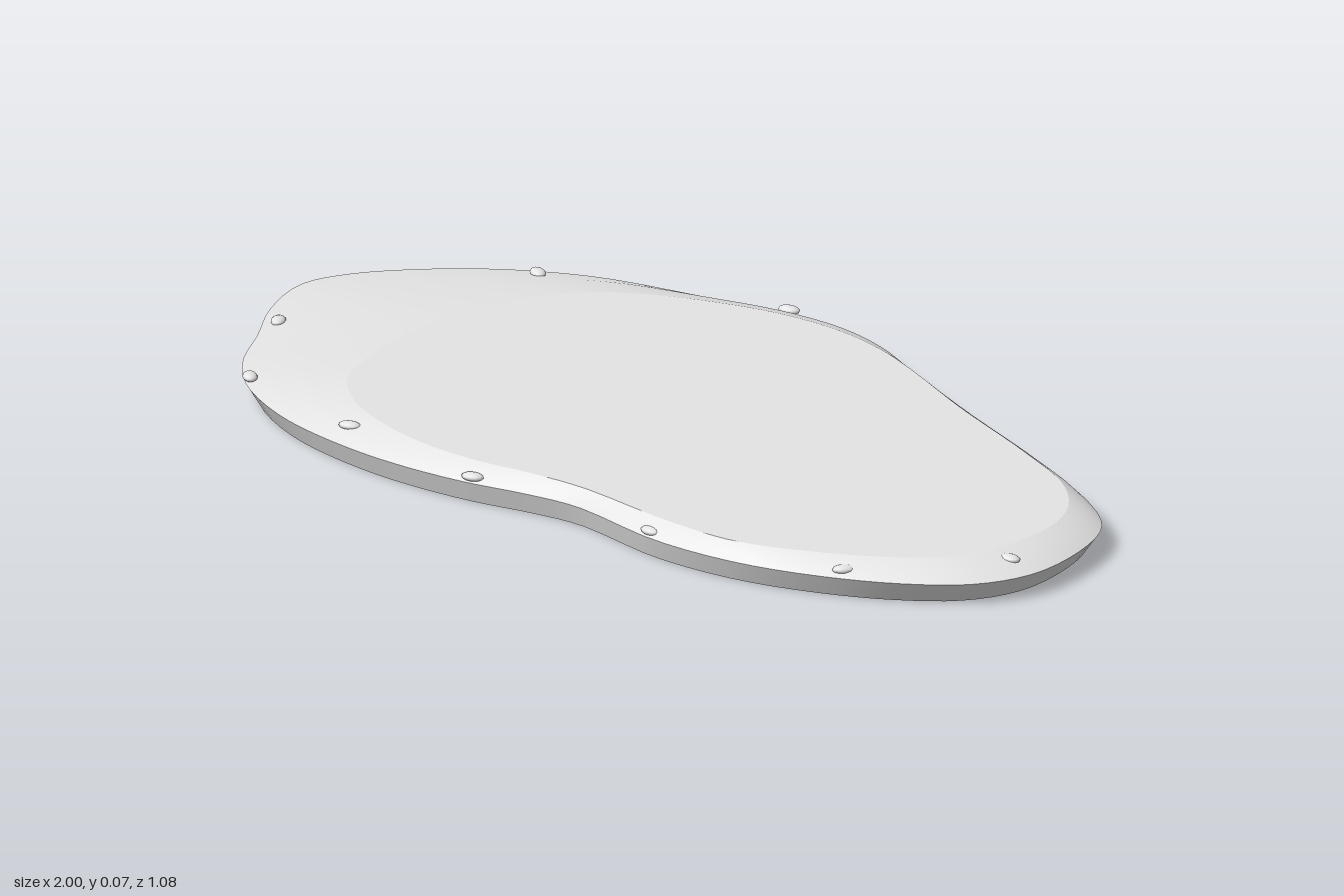
import * as THREE from 'three';

const SEGMENTS = 120;

// Rim point (x, z) paired with the matching point of the flat top (x, z)
const OUTLINE = [
  [-1.0, 0.03, -0.64, 0.0], [-0.977, -0.07, -0.63, -0.09], [-0.9, -0.19, -0.61, -0.18],
  [-0.8, -0.295, -0.57, -0.26], [-0.66, -0.39, -0.49, -0.34], [-0.45, -0.467, -0.37, -0.41],
  [-0.3, -0.52, -0.24, -0.46], [-0.16, -0.542, -0.1, -0.48], [-0.04, -0.525, 0.02, -0.47],
  [0.08, -0.482, 0.12, -0.445], [0.34, -0.405, 0.34, -0.375], [0.6, -0.335, 0.58, -0.31],
  [0.8, -0.27, 0.75, -0.25], [0.91, -0.2, 0.85, -0.17], [0.975, -0.08, 0.9, -0.07],
  [1.0, 0.06, 0.91, 0.05], [0.965, 0.17, 0.88, 0.16], [0.88, 0.26, 0.81, 0.24],
  [0.76, 0.34, 0.7, 0.32], [0.6, 0.41, 0.56, 0.39], [0.41, 0.445, 0.4, 0.41],
  [0.18, 0.435, 0.17, 0.41], [0.07, 0.46, 0.05, 0.43], [-0.05, 0.5, -0.07, 0.46],
  [-0.2, 0.53, -0.2, 0.47], [-0.35, 0.538, -0.32, 0.455], [-0.52, 0.52, -0.43, 0.42],
  [-0.68, 0.46, -0.53, 0.35], [-0.78, 0.38, -0.58, 0.26], [-0.86, 0.27, -0.61, 0.18],
  [-0.945, 0.16, -0.63, 0.09],
];

// Smooth closed ring through one pair of outline columns
function ring(column, y) {
  const points = OUTLINE.map((p) => new THREE.Vector3(p[column], y, p[column + 1]));
  const curve = new THREE.CatmullRomCurve3(points, true);
  return Array.from({ length: SEGMENTS }, (_, i) => curve.getPoint(i / SEGMENTS));
}

// Surface through successive rings, smooth inside and sharp at its ends
function loft(name, rings, material) {
  const index = [];
  for (let r = 0; r < rings.length - 1; r++) {
    for (let i = 0; i < SEGMENTS; i++) {
      const j = (i + 1) % SEGMENTS;
      const a = r * SEGMENTS + i, b = r * SEGMENTS + j;
      const c = a + SEGMENTS, d = b + SEGMENTS;
      index.push(a, c, b, b, c, d);
    }
  }
  const geometry = new THREE.BufferGeometry().setFromPoints(rings.flat());
  geometry.setIndex(index);
  geometry.computeVertexNormals();
  const mesh = new THREE.Mesh(geometry, material);
  mesh.name = name;
  return mesh;
}

export function createModel() {
  const group = new THREE.Group();
  group.name = 'flatStone';
  const stone = new THREE.MeshStandardMaterial({ color: 0xe5e5e5, side: THREE.DoubleSide });
  stone.name = 'pale grey stone';

  const rim = ring(0, 0.042);
  const top = ring(2, 0.07);
  const foot = rim.map((p) => new THREE.Vector3(p.x * 0.967, 0, p.z * 0.965));
  const shoulder = rim.map((p, i) => p.clone().lerp(top[i], 0.45).setY(0.058));
  const centre = rim.map(() => new THREE.Vector3(0, 0.07, 0));

  // Thin shell, hollow and open underneath
  group.add(
    loft('sideWall', [foot, rim], stone),
    loft('slopedShoulder', [rim, shoulder, top], stone),
    loft('flatTop', [top, centre], stone),
  );

  // Small pebbles set through the shoulder: x, y, z, turn
  const pebbles = [
    [-0.28, 0.053, -0.515, 0.3], [-0.73, 0.053, -0.305, -0.4], [-0.37, 0.06, 0.49, 0.4],
    [-0.04, 0.052, 0.488, 0.4], [0.38, 0.05, 0.432, 0], [0.77, 0.053, 0.31, 1],
    [0.945, 0.059, 0.06, 0.2], [-0.7, 0.049, 0.435, -0.6], [-0.88, 0.047, 0.2, -0.9],
  ];
  const geometry = new THREE.SphereGeometry(1, 12, 8).scale(0.022, 0.008, 0.014);
  pebbles.forEach(([x, y, z, turn], i) => {
    const mesh = new THREE.Mesh(geometry, stone);
    mesh.name = `pebble${i + 1}`;
    mesh.position.set(x, y, z);
    mesh.rotation.y = turn;
    group.add(mesh);
  });
  return group;
}
